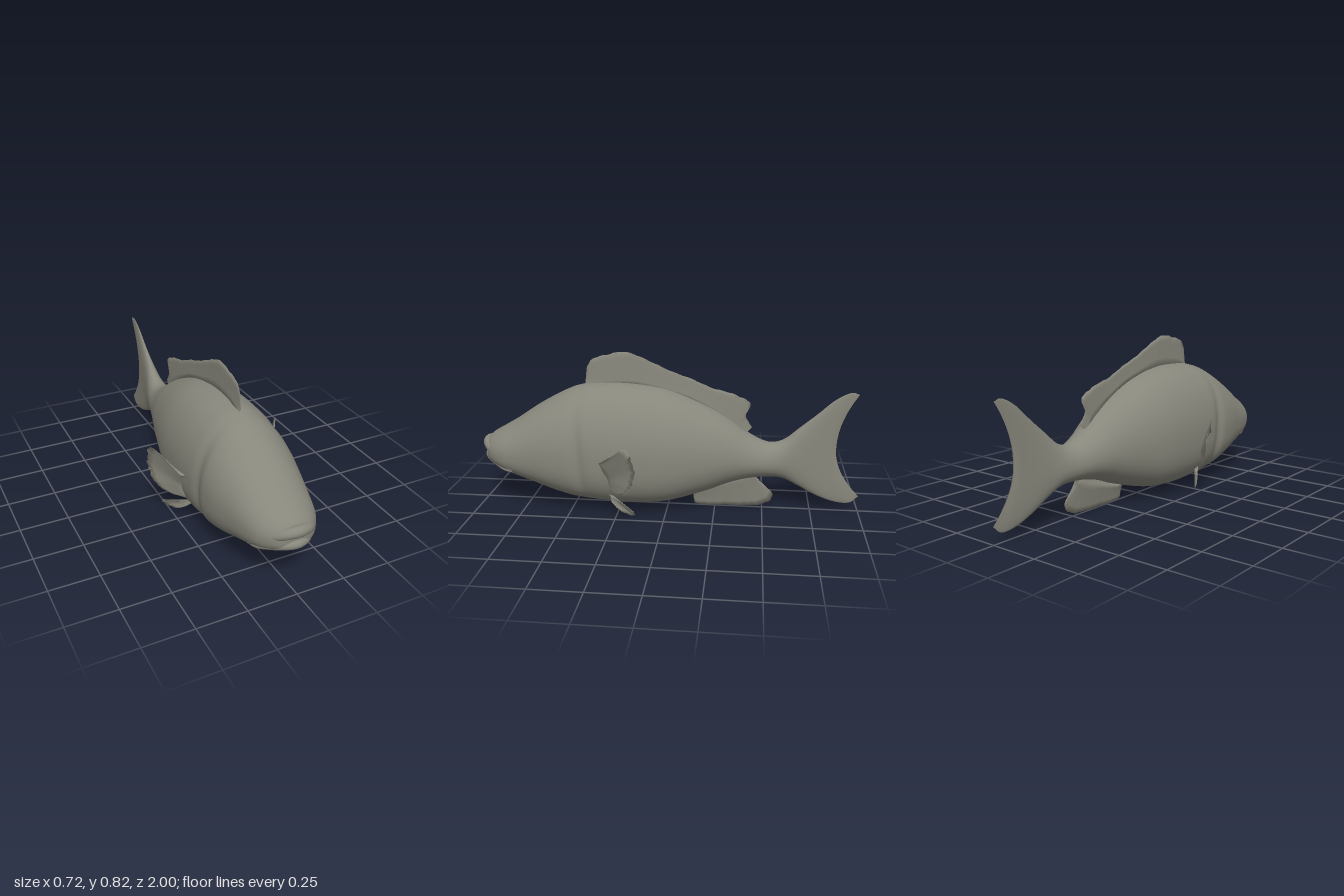
import * as THREE from 'three';

const skin = new THREE.MeshStandardMaterial({ color: 0x88877c, side: THREE.DoubleSide });
skin.name = 'fishGrey';

const V = (x, y, z) => new THREE.Vector3(x, y, z);
const spline = (pts) => new THREE.CatmullRomCurve3(pts.map((p) => V(...p)), false, 'catmullrom', 0.5);

function part(name, geometry) {
  const mesh = new THREE.Mesh(geometry, skin);
  mesh.name = name;
  return mesh;
}

// Grid of vertices from point(t, u): rows run along t, columns wrap around in u
function loft(rows, cols, point) {
  const pos = [], index = [];
  for (let i = 0; i <= rows; i++) {
    for (let j = 0; j < cols; j++) {
      pos.push(...point(i / rows, j / cols));
      if (i === rows) continue;
      const k = (j + 1) % cols, a = i * cols, b = a + cols;
      index.push(a + j, a + k, b + j, a + k, b + k, b + j);
    }
  }
  const g = new THREE.BufferGeometry();
  g.setAttribute('position', new THREE.Float32BufferAttribute(pos, 3));
  g.setIndex(index);
  g.computeVertexNormals();
  return g;
}

// Body and tail stations: z, top, bottom, half width, fork depth
const stations = [
  [0.972, 0.298, 0.297, 0.002, 0], [0.968, 0.34, 0.25, 0.06, 0],
  [0.945, 0.375, 0.225, 0.105, 0], [0.88, 0.414, 0.192, 0.154, 0],
  [0.8, 0.462, 0.16, 0.181, 0], [0.7, 0.53, 0.125, 0.204, 0],
  [0.6, 0.588, 0.09, 0.226, 0], [0.51, 0.632, 0.063, 0.236, 0],
  [0.45, 0.65, 0.052, 0.238, 0], [0.38, 0.662, 0.043, 0.239, 0],
  [0.2, 0.665, 0.032, 0.24, 0], [0, 0.635, 0.045, 0.225, 0],
  [-0.2, 0.555, 0.1, 0.18, 0], [-0.32, 0.485, 0.145, 0.144, 0],
  [-0.42, 0.412, 0.172, 0.112, 0], [-0.52, 0.368, 0.183, 0.083, 0],
  [-0.6, 0.385, 0.175, 0.06, 0], [-0.68, 0.45, 0.135, 0.041, 0.015],
  [-0.77, 0.525, 0.085, 0.027, 0.035], [-0.86, 0.602, 0.052, 0.017, 0.065],
  [-0.94, 0.642, 0.047, 0.01, 0.095], [-0.985, 0.633, 0.085, 0.003, 0.115],
];

function bodyGeometry() {
  const heights = spline(stations.map((s) => [s[0], s[1], s[2]]));
  const widths = spline(stations.map((s) => [s[3], s[4], 0]));
  return loft(130, 56, (t, u) => {
    const h = heights.getPoint(t), w = widths.getPoint(t);
    const a = u * Math.PI * 2, c = Math.cos(a), v = Math.sin(a);
    const mid = h.z + 0.44 * (h.y - h.z);
    // The belly is squarer than the back, fading toward the tail
    const full = v < 0 ? 1 - 0.24 * THREE.MathUtils.smoothstep(h.x, -0.5, 0.1) : 1;
    const bend = (k) => Math.sign(k) * Math.abs(k) ** full;
    const y = mid + bend(v) * (v > 0 ? h.y - mid : mid - h.z);
    // Groove behind the gill cover
    const groove = 0.016 * c * c * Math.exp(-(((h.x - 0.445 - 0.03 * v) / 0.035) ** 2));
    const z = h.x + w.y * (1 - v * v + 0.13 * v);
    return [bend(c) * (w.x - groove), y, z];
  });
}

// Fin spanning a base curve and a free edge, thick at the base and thin at the ragged edge
function finGeometry(base, edge, thickness, ragged) {
  const b = spline(base), e = spline(edge), across = 6;
  return loft(60, across * 2, (t, u) => {
    const j = Math.round(u * across * 2);
    const s = (j <= across ? j : across * 2 - j) / across;
    const side = j <= across ? 1 : -1;
    const root = b.getPoint(t), tip = e.getPoint(t);
    const n = t * 60;
    const reach = s * (1 + ragged * (Math.sin(n * 1.9) + Math.sin(n * 0.83 + 1)));
    const p = root.lerp(tip, reach);
    const half = s === 1 ? 0 : thickness * (1 - s) ** 1.3 + 0.001;
    return [p.x + side * half, p.y, p.z];
  });
}

// Lip: a tube that thins toward the mouth corners
function lipGeometry(half, radius) {
  const mirrored = half.slice(1).reverse().map(([x, y, z]) => [-x, y, z]);
  const path = spline([...mirrored, ...half]);
  const g = new THREE.TubeGeometry(path, 48, radius, 14);
  const pos = g.attributes.position, uv = g.attributes.uv, p = V(0, 0, 0);
  for (let i = 0; i < pos.count; i++) {
    const t = uv.getX(i), c = path.getPointAt(t);
    const k = 0.2 + 0.8 * Math.sin(Math.PI * t) ** 0.7;
    p.fromBufferAttribute(pos, i).sub(c).multiplyScalar(k).add(c);
    pos.setXYZ(i, p.x, p.y, p.z);
  }
  g.computeVertexNormals();
  return g;
}

export function createModel() {
  const fish = new THREE.Group();
  fish.name = 'fish';
  fish.add(part('bodyAndTail', bodyGeometry()));

  // Mouth
  fish.add(part('upperLip', lipGeometry(
    [[0, 0.33, 0.972], [0.06, 0.32, 0.953], [0.105, 0.29, 0.905], [0.138, 0.25, 0.855], [0.153, 0.21, 0.81]], 0.028)));
  fish.add(part('lowerLip', lipGeometry(
    [[0, 0.262, 0.97], [0.055, 0.256, 0.95], [0.1, 0.235, 0.9], [0.13, 0.215, 0.855], [0.145, 0.203, 0.81]], 0.022)));

  // Fins on the centre line
  fish.add(part('dorsalFin', finGeometry(
    [[0, 0.64, 0.43], [0, 0.645, 0.35], [0, 0.65, 0.25], [0, 0.645, 0.15], [0, 0.625, 0.03], [0, 0.59, -0.1],
      [0, 0.53, -0.22], [0, 0.47, -0.3], [0, 0.44, -0.34], [0, 0.42, -0.37], [0, 0.4, -0.39]],
    [[0, 0.665, 0.435], [0, 0.765, 0.415], [0, 0.812, 0.32], [0, 0.82, 0.19], [0, 0.758, 0.05], [0, 0.7, -0.1],
      [0, 0.645, -0.24], [0, 0.61, -0.365], [0, 0.565, -0.425], [0, 0.51, -0.4], [0, 0.445, -0.435]],
    0.01, 0.014)));
  fish.add(part('analFin', finGeometry(
    [[0, 0.1, -0.14], [0, 0.11, -0.2], [0, 0.14, -0.28], [0, 0.17, -0.36], [0, 0.185, -0.4], [0, 0.19, -0.43], [0, 0.195, -0.46]],
    [[0, 0.04, -0.135], [0, 0.006, -0.16], [0, 0.006, -0.32], [0, 0.012, -0.47], [0, 0.045, -0.545], [0, 0.095, -0.545], [0, 0.12, -0.475]],
    0.022, 0.008)));

  // Paired fins, mirrored to each side
  for (const [side, m] of [['left', 1], ['right', -1]]) {
    const flip = (pts) => pts.map(([x, y, z]) => [x * m, y, z]);
    fish.add(part(side + 'PectoralFin', finGeometry(
      flip([[0.225, 0.3, 0.335], [0.225, 0.28, 0.325], [0.225, 0.25, 0.31], [0.22, 0.22, 0.295], [0.215, 0.2, 0.29], [0.205, 0.17, 0.29], [0.2, 0.15, 0.29]]),
      flip([[0.262, 0.31, 0.32], [0.3, 0.36, 0.255], [0.352, 0.415, 0.175], [0.356, 0.31, 0.13], [0.335, 0.205, 0.155], [0.285, 0.155, 0.21], [0.215, 0.14, 0.28]]),
      0.01, 0.016)));
    fish.add(part(side + 'PelvicFin', finGeometry(
      flip([[0.185, 0.13, 0.295], [0.185, 0.125, 0.292], [0.185, 0.12, 0.29], [0.185, 0.115, 0.288], [0.185, 0.11, 0.285], [0.185, 0.1, 0.28]]),
      flip([[0.217, 0.106, 0.265], [0.24, 0.086, 0.215], [0.288, 0.07, 0.148], [0.27, 0.038, 0.152], [0.238, 0.046, 0.22], [0.212, 0.08, 0.27]]),
      0.01, 0.02)));
  }
  return fish;
}
